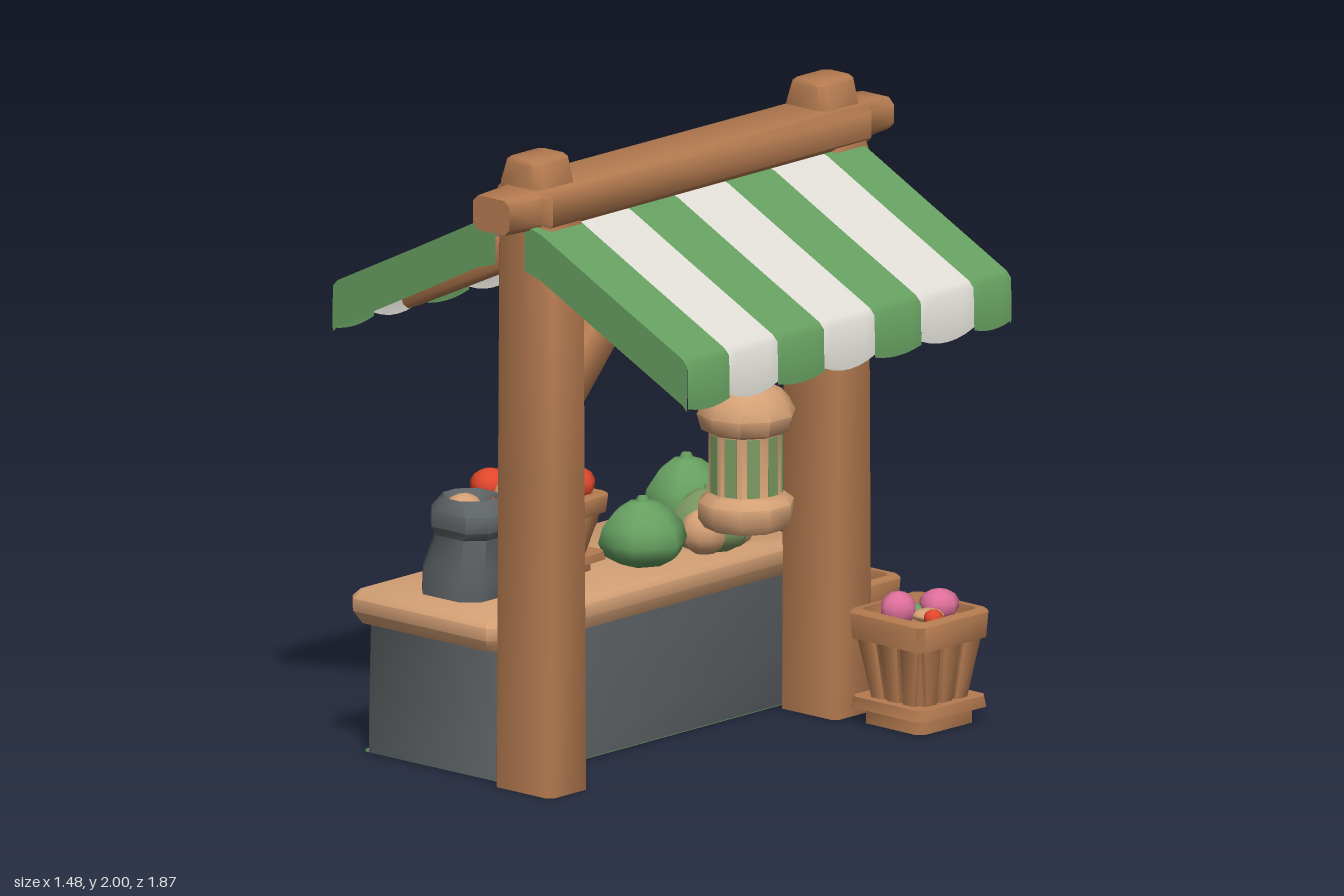
import * as THREE from 'three';
import { toCreasedNormals } from 'three/addons/utils/BufferGeometryUtils.js';

const mat = (name, color, side = THREE.FrontSide) => {
  const m = new THREE.MeshStandardMaterial({ color, side });
  m.name = name;
  return m;
};

// Stack of chamfered rectangles: each section is [y, width, depth, xShift]
function loft(sections, c = 0.02) {
  const rings = sections.map(([y, w, d, s = 0]) => {
    const a = w / 2, b = d / 2;
    return [[a, c - b], [a, b - c], [a - c, b], [c - a, b], [-a, b - c], [-a, c - b], [c - a, -b], [a - c, -b]]
      .map(([x, q]) => [x + s, y, -q]);
  });
  const pos = [];
  const tri = (...pts) => pts.forEach((p) => pos.push(...p));
  const mid = (k) => [sections[k][3] || 0, sections[k][0], 0];
  const last = rings.length - 1;
  for (let i = 0; i < 8; i++) {
    const j = (i + 1) % 8;
    for (let k = 0; k < last; k++) {
      tri(rings[k][i], rings[k][j], rings[k + 1][j]);
      tri(rings[k][i], rings[k + 1][j], rings[k + 1][i]);
    }
    tri(mid(0), rings[0][j], rings[0][i]);
    tri(mid(last), rings[last][i], rings[last][j]);
  }
  const g = new THREE.BufferGeometry();
  g.setAttribute('position', new THREE.Float32BufferAttribute(pos, 3));
  return toCreasedNormals(g, 0.9);
}

// Sheet made from rows of points
function sheet(rows) {
  const n = rows[0].length, index = [];
  for (let r = 0; r < rows.length - 1; r++)
    for (let i = 0; i < n - 1; i++) {
      const a = r * n + i, b = a + n;
      index.push(a, b, a + 1, a + 1, b, b + 1);
    }
  const g = new THREE.BufferGeometry();
  g.setAttribute('position', new THREE.Float32BufferAttribute(rows.flat(2), 3));
  g.setIndex(index);
  return toCreasedNormals(g, 1.2);
}

export function createModel() {
  const root = new THREE.Group();
  root.name = 'marketStall';
  const wood = mat('wood', 0xb57b50);
  const tan = mat('paleWood', 0xd4a075);
  const green = mat('green', 0x669f60, THREE.DoubleSide);
  const white = mat('whiteCloth', 0xe0ded6, THREE.DoubleSide);
  const grey = mat('darkGrey', 0x5e6366);
  const red = mat('red', 0xe2472b);
  const pink = mat('pink', 0xdc6e99);
  const olive = mat('oliveGreen', 0x7c9a62);

  const add = (name, geo, m, x = 0, y = 0, z = 0, parent = root) => {
    const mesh = new THREE.Mesh(geo, m);
    mesh.name = name;
    mesh.position.set(x, y, z);
    parent.add(mesh);
    return mesh;
  };
  const beam = (name, p, q, w, d) => {
    const a = new THREE.Vector3(...p), dir = new THREE.Vector3(...q).sub(a);
    const len = dir.length();
    const mesh = add(name, loft([[0, w, d], [len, w, d]], 0.015), wood, ...p);
    mesh.quaternion.setFromUnitVectors(new THREE.Vector3(0, 1, 0), dir.normalize());
  };
  // Ribbed round produce, pointed toward the top by the taper
  const lump = (name, m, x, y, z, r, h, ribs = 5, parent = root, taper = 0) => {
    const g = new THREE.SphereGeometry(1, 12, 7);
    const p = g.attributes.position;
    for (let i = 0; i < p.count; i++) {
      const k = (1 + 0.06 * Math.cos(ribs * Math.atan2(p.getZ(i), p.getX(i)))) * (1 - taper * p.getY(i));
      p.setXYZ(i, p.getX(i) * k * r, p.getY(i) * h, p.getZ(i) * k * r);
    }
    g.computeVertexNormals();
    return add(name, g, m, x, y, z, parent);
  };

  // Posts with tapered heads
  for (const z of [0.71, -0.585]) {
    add('post', loft([[0, 0.24, 0.18, 0.02], [1, 0.232, 0.175, 0.02], [1.78, 0.226, 0.17, 0.02],
      [1.84, 0.2, 0.17, 0.004], [1.92, 0.175, 0.17, 0.002], [1.99, 0.135, 0.165, 0.005], [2, 0.11, 0.15, 0.005]], 0.018), wood, 0, 0, z);
    // Diagonal brace rising toward the middle
    const s = Math.sign(z), face = z - s * 0.04;
    beam('brace', [0.015, 1.2, face], [0.015, 1.76, face - s * 0.52], 0.15, 0.13);
  }

  // Ridge beam, thicker between the posts
  const ridge = add('ridgeBeam', loft([[-0.81, 0.15, 0.1], [-0.69, 0.16, 0.115], [-0.67, 0.22, 0.125],
    [0.78, 0.23, 0.125], [0.8, 0.16, 0.12], [0.935, 0.15, 0.11]]), wood, 0.018, 1.853, 0);
  ridge.rotation.x = Math.PI / 2;

  // Awning: striped scalloped cloth with end flaps, over rafters
  const stripes = [0.83, 0.64, 0.42, 0.21, -0.02, -0.23, -0.47, -0.64];
  const slope = [[0.06, 1.81], [0.13, 1.79], [0.4, 1.655], [0.715, 1.5], [0.735, 1.48]];
  for (const s of [-1, 1]) {
    for (let k = 0; k < 7; k++) {
      const rows = [];
      for (let i = 0; i <= 6; i++) {
        const t = i / 6, z = stripes[k] + (stripes[k + 1] - stripes[k]) * t;
        const hem = 1.332 + (k % 2 ? 0.024 : 0.014) * (2 * t - 1) ** 2;
        rows.push([...slope, [0.738, hem]].map(([x, y]) => [s * x, y, z]));
      }
      if (s < 0) rows.reverse();
      add('awningStripe', sheet(rows), k % 2 ? white : green);
    }
    for (const z of [0.83, -0.64]) {
      const top = slope.map(([x, y]) => [s * x, y, z]);
      const hem = slope.map(([x, y]) => [s * x, y - 0.146, z]);
      const rows = (s > 0) === (z > 0) ? [top, hem] : [hem, top];
      add('awningEndFlap', sheet(rows), green);
    }
    for (const z of [0.7, 0.08, -0.56])
      beam('rafter', [s * 0.05, 1.7, z], [s * 0.54, 1.47, z], 0.1, 0.08);
    beam('purlin', [s * 0.5, 1.54, -0.6], [s * 0.5, 1.54, 0.78], 0.07, 0.07);
  }

  // Counter
  add('counterBody', loft([[0.004, 0.57, 1.36], [0.2, 0.555, 1.37], [0.43, 0.55, 1.36]], 0.03), grey, -0.393, 0, 0.08);
  add('counterBase', new THREE.BoxGeometry(0.56, 0.008, 1.34), green, -0.393, 0.004, 0.08);
  add('counterTop', loft([[0.42, 0.58, 1.4], [0.46, 0.61, 1.45], [0.5, 0.61, 1.45], [0.52, 0.58, 1.41]], 0.03), tan, -0.385, 0, 0.095);

  // Slatted baskets
  const basket = (name, x, y, z, turn) => {
    const g = new THREE.Group();
    g.name = name;
    g.position.set(x, y, z);
    g.rotation.y = turn;
    root.add(g);
    add('basketBody', loft([[0, 0.25, 0.25], [0.05, 0.25, 0.25], [0.05, 0.31, 0.31], [0.085, 0.3, 0.3], [0.085, 0.22, 0.22],
      [0.27, 0.275, 0.275], [0.27, 0.31, 0.31], [0.35, 0.32, 0.32], [0.36, 0.3, 0.3], [0.36, 0.26, 0.26], [0.33, 0.25, 0.25]]), wood, 0, 0, 0, g);
    for (let side = 0; side < 4; side++) {
      const face = new THREE.Group();
      face.name = 'basketSide';
      face.rotation.y = side * Math.PI / 2;
      g.add(face);
      for (const o of [-0.078, 0, 0.078]) {
        const slat = add('slat', loft([[-0.1, 0.05, 0.02], [0.1, 0.076, 0.02]], 0.005), wood, o, 0.18, 0.123, face);
        slat.rotation.x = 0.135;
        slat.rotation.z = -o * 1.5;
      }
    }
    return g;
  };

  // Back basket: one long pink bloom with pale filling
  const back = basket('backBasket', -0.135, 0, -0.775, 0.01);
  lump('pinkBloom', pink, -0.035, 0.36, -0.085, 0.075, 0.05, 5, back);
  lump('pinkBloom', pink, -0.025, 0.355, -0.005, 0.055, 0.045, 3, back);
  lump('paleFilling', tan, 0.06, 0.345, -0.03, 0.055, 0.022, 3, back);
  lump('redBloom', red, 0.04, 0.345, 0.06, 0.03, 0.025, 5, back);

  // Side basket: pink bloom, leaf and pale filling
  const sideBasket = basket('sideBasket', 0.335, 0, -0.66, -0.02);
  lump('pinkBloom', pink, 0.015, 0.36, -0.075, 0.062, 0.05, 5, sideBasket);
  lump('pinkBloom', pink, -0.04, 0.36, 0.05, 0.058, 0.055, 4, sideBasket);
  lump('leaf', green, -0.045, 0.34, -0.02, 0.045, 0.022, 3, sideBasket);
  lump('paleFilling', tan, 0.04, 0.345, 0, 0.05, 0.02, 3, sideBasket);
  lump('redBloom', red, 0.08, 0.345, 0.02, 0.03, 0.028, 5, sideBasket);

  // Basket of red fruit on the counter
  const fruit = basket('fruitBasket', -0.43, 0.52, 0.26, 0.08);
  fruit.scale.set(1.1, 0.68, 1.1);
  for (const [x, y, z] of [[-0.52, 0.79, 0.16], [-0.53, 0.79, 0.34], [-0.35, 0.79, 0.15],
    [-0.34, 0.8, 0.35], [-0.43, 0.8, 0.25], [-0.33, 0.79, 0.25]])
    lump('redFruit', red, x, y, z, 0.062, 0.053);
  lump('fruitFilling', tan, -0.43, 0.785, 0.35, 0.055, 0.045, 3);

  // Grey sack
  add('sack', loft([[0.52, 0.25, 0.22, -0.02], [0.6, 0.25, 0.22, -0.015], [0.71, 0.21, 0.18], [0.74, 0.24, 0.22, 0.01],
    [0.79, 0.24, 0.21, 0.01], [0.83, 0.17, 0.16], [0.8, 0.13, 0.12]], 0.05), grey, -0.39, 0, 0.585);
  lump('sackProduce', tan, -0.4, 0.8, 0.6, 0.055, 0.035, 3);
  lump('sackProduce', red, -0.325, 0.795, 0.53, 0.033, 0.03, 3);

  // Large vegetables
  for (const [m, x, z, r, h] of [[green, -0.25, -0.045, 0.132, 0.105], [green, -0.42, -0.43, 0.13, 0.122], [olive, -0.22, -0.32, 0.13, 0.1]]) {
    lump('cabbage', m, x, 0.51 + h, z, r, h, 6, root, 0.22);
    add('cabbageStem', new THREE.CylinderGeometry(0.015, 0.03, 0.03, 6), m, x, 0.505 + 2 * h, z);
  }
  for (const dz of [-0.06, 0.06])
    lump('paleLeaf', tan, -0.19, 0.59, -0.32 + dz, 0.08, 0.075, 4);
  lump('pinkTurnip', pink, -0.59, 0.595, -0.08, 0.095, 0.075, 5);

  // Hanging lantern
  const lantern = new THREE.Group();
  lantern.name = 'lantern';
  lantern.position.set(0.12, 0, -0.11);
  root.add(lantern);
  const profile = [[0, 0.7], [0.13, 0.69], [0.15, 0.72], [0.15, 0.77], [0.125, 0.79], [0.115, 0.8], [0.117, 0.99],
    [0.14, 1.0], [0.155, 1.05], [0.135, 1.09], [0.11, 1.12], [0.06, 1.14], [0, 1.14]].map((p) => new THREE.Vector2(...p));
  add('lanternBody', toCreasedNormals(new THREE.LatheGeometry(profile, 10), 0.9), tan, 0, 0, 0, lantern);
  add('lanternBottom', new THREE.CylinderGeometry(0.12, 0.12, 0.009, 10), grey, 0, 0.691, 0, lantern);
  for (let i = 0; i < 10; i++) {
    const a = (i + 0.5) * Math.PI / 5;
    const pane = add('lanternPane', new THREE.BoxGeometry(0.04, 0.185, 0.008), olive,
      Math.sin(a) * 0.11, 0.895, Math.cos(a) * 0.11, lantern);
    pane.rotation.y = a;
  }
  const hook = new THREE.CatmullRomCurve3([[0, 1.12, 0], [0, 1.17, 0], [0.012, 1.2, 0], [0.012, 1.235, 0]]
    .map((p) => new THREE.Vector3(...p)));
  add('lanternHook', new THREE.TubeGeometry(hook, 6, 0.016, 6), grey, 0, 0, 0, lantern);
  lump('lanternHookTip', grey, 0.012, 1.22, 0, 0.022, 0.032, 3, lantern);

  return root;
}
